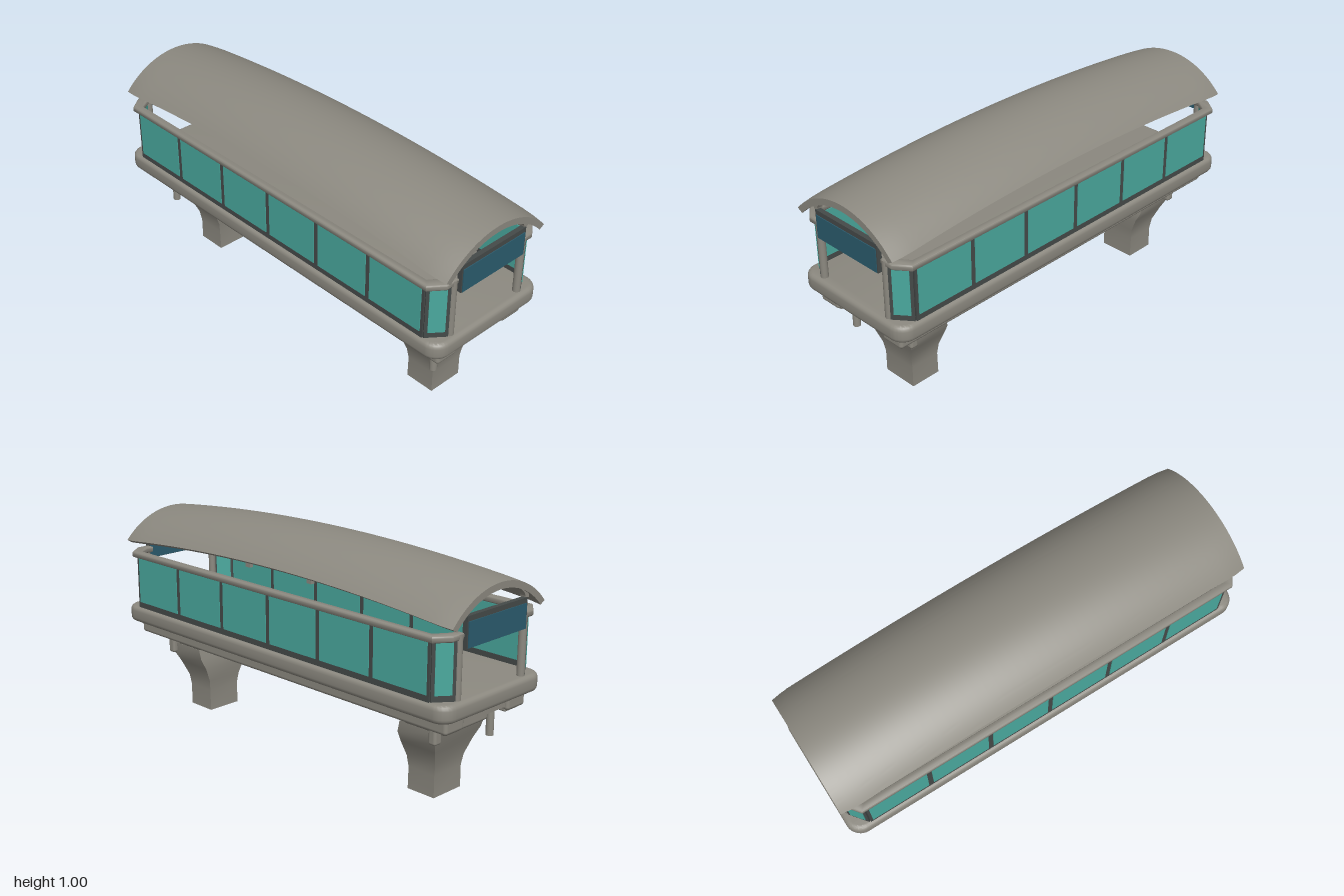
import * as THREE from 'three';
import { toCreasedNormals } from 'three/addons/utils/BufferGeometryUtils.js';
import { RoundedBoxGeometry } from 'three/addons/geometries/RoundedBoxGeometry.js';

const mat = (name, color, side = THREE.FrontSide) => {
  const m = new THREE.MeshStandardMaterial({ color, side });
  m.name = name;
  return m;
};

export function createModel() {
  const model = new THREE.Group();
  model.name = 'elevatedStation';
  const grey = mat('concreteGrey', 0x8c8980);
  const greyOpen = mat('pierGrey', 0x8c8980, THREE.DoubleSide);
  const dark = mat('frameDark', 0x454a49);
  const teal = mat('glassTeal', 0x4aa99e);
  const blue = mat('signBlue', 0x2b5c6e);

  const add = (name, geo, material, x = 0, y = 0, z = 0, parent = model) => {
    const mesh = new THREE.Mesh(geo, material);
    mesh.name = name;
    mesh.position.set(x, y, z);
    parent.add(mesh);
    return mesh;
  };

  // Plan outline (x, z) raised from y0 to y1 with rounded edges
  const raise = (shape, y0, y1, bevel) => {
    const geo = new THREE.ExtrudeGeometry(shape, {
      depth: y1 - y0 - 2 * bevel, bevelSize: bevel, bevelThickness: bevel,
      bevelOffset: -bevel, bevelSegments: 4, curveSegments: 8,
    });
    geo.rotateX(-Math.PI / 2).translate(0, y0 + bevel, 0);
    return toCreasedNormals(geo, 0.7);
  };

  // Cross-section (z, y) run along x from x0 to x1
  const run = (shape, x0, x1, steps = 1) => {
    const geo = new THREE.ExtrudeGeometry(shape, { depth: x1 - x0, steps, bevelEnabled: false, curveSegments: 32 });
    return geo.rotateY(Math.PI / 2).translate(x0, 0, 0);
  };

  const roundedRect = (hx, hz, r) => {
    const s = new THREE.Shape();
    s.absarc(hx - r, hz - r, r, 0, Math.PI / 2);
    s.absarc(-hx + r, hz - r, r, Math.PI / 2, Math.PI);
    s.absarc(-hx + r, -hz + r, r, Math.PI, Math.PI * 1.5);
    s.absarc(hx - r, -hz + r, r, Math.PI * 1.5, Math.PI * 2);
    return s;
  };

  // Platform deck and the stepped beams beneath it
  add('deck', raise(roundedRect(1, 0.315, 0.07), 0.43, 0.508, 0.022), grey);
  add('underPanel', new THREE.BoxGeometry(1.88, 0.06, 0.32), grey, 0, 0.412, 0);
  for (const s of [-1, 1]) {
    add('sideBeam', new RoundedBoxGeometry(1.91, 0.07, 0.115, 3, 0.015), grey, 0, 0.4, s * 0.195);
    add('sideBeamFoot', new RoundedBoxGeometry(1.88, 0.03, 0.09, 3, 0.008), grey, 0, 0.372, s * 0.185);
  }

  // Flared hollow piers: [y, inner x, outer x, back z, front z]
  const sections = [
    [0.0, 0.636, 0.778, -0.1, 0.07], [0.1, 0.638, 0.778, -0.1, 0.07],
    [0.15, 0.632, 0.786, -0.106, 0.077], [0.22, 0.622, 0.808, -0.135, 0.105],
    [0.27, 0.626, 0.828, -0.16, 0.13], [0.32, 0.638, 0.842, -0.163, 0.138],
  ];
  const pier = (s) => {
    const pos = [], index = [];
    for (const [y, a, b, z0, z1] of sections) {
      const x0 = s > 0 ? a : -b, x1 = s > 0 ? b : -a;
      pos.push(x0, y, z1, x1, y, z1, x1, y, z0, x0, y, z0);
    }
    for (let i = 0; i < sections.length - 1; i++)
      for (let j = 0; j < 4; j++) {
        const a = i * 4 + j, b = i * 4 + ((j + 1) % 4);
        index.push(a, b, b + 4, a, b + 4, a + 4);
      }
    const geo = new THREE.BufferGeometry();
    geo.setAttribute('position', new THREE.Float32BufferAttribute(pos, 3));
    geo.setIndex(index);
    return toCreasedNormals(geo, 0.8);
  };
  for (const s of [-1, 1]) {
    add('pier', pier(s), greyOpen);
    add('pierCap', new RoundedBoxGeometry(0.225, 0.11, 0.28, 3, 0.015), grey, s * 0.745, 0.358, 0);
    add('drainPipe', new THREE.CylinderGeometry(0.017, 0.017, 0.16, 16), grey, s * 0.853, 0.31, 0.158);
    add('pipeStub', new RoundedBoxGeometry(0.04, 0.11, 0.045, 3, 0.012), grey, s * 0.825, 0.325, -0.16);
  }

  // Glazed wall panel between two plan points, split into equal panes
  const wall = (name, ax, az, bx, bz, count, gap) => {
    const g = new THREE.Group();
    g.name = name;
    const len = Math.hypot(bx - ax, bz - az);
    g.position.set((ax + bx) / 2, 0.635, (az + bz) / 2);
    g.rotation.y = -Math.atan2(bz - az, bx - ax);
    add('wallFrame', new THREE.BoxGeometry(len, 0.265, 0.016), dark, 0, 0, 0, g);
    const step = len / count;
    for (let i = 0; i < count; i++)
      for (const s of [-1, 1])
        add('windowPane', new THREE.BoxGeometry(step - gap, 0.215, 0.005), teal,
          (i + 0.5) * step - len / 2, 0.007, s * 0.009, g);
    model.add(g);
  };
  for (const s of [-1, 1]) {
    wall('sideWall', -0.905, s * 0.292, 0.905, s * 0.292, 6, 0.024);
    for (const e of [-1, 1]) {
      wall('cornerWall', e * 0.905, s * 0.292, e * 0.965, s * 0.215, 1, 0.028);
      add('endPost', new THREE.CylinderGeometry(0.017, 0.017, 0.28, 16), grey, e * 0.962, 0.635, s * 0.202);
    }
    // Rail capping the wall and its angled corners
    const rail = [[0.975, 0.185], [0.975, 0.25], [0.925, 0.315], [-0.925, 0.315], [-0.975, 0.25], [-0.975, 0.185],
      [-0.935, 0.185], [-0.935, 0.22], [-0.895, 0.278], [0.895, 0.278], [0.935, 0.22], [0.935, 0.185]];
    add('topRail', raise(new THREE.Shape(rail.map(([x, z]) => new THREE.Vector2(x, s * z))), 0.75, 0.779, 0.009), grey);
  }

  // Arched roof, rising toward the middle and drawn in slightly at the corners
  const cy = 0.545, lift = (x) => 0.055 * (1 - x * x);
  const roofShape = new THREE.Shape();
  roofShape.absarc(0, cy, 0.4, Math.PI / 2 - 0.829, Math.PI / 2 + 0.829, false);
  roofShape.absarc(0, cy, 0.371, Math.PI / 2 + 0.81, Math.PI / 2 - 0.81, true);
  const roof = run(roofShape, -1, 1, 40);
  const p = roof.attributes.position;
  for (let i = 0; i < p.count; i++) {
    const x = p.getX(i), t = Math.max(0, Math.abs(x) - 0.9) / 0.1;
    p.setY(i, p.getY(i) + lift(x));
    p.setZ(i, p.getZ(i) * (1 - 0.03 * t * t));
  }
  add('roof', toCreasedNormals(roof, 0.6), grey);

  // Arched ribs under the roof: half width, foot height, inner ellipse
  const rib = (name, x, w, angle, foot, inner, top) => {
    const c = cy + lift(x), s = new THREE.Shape();
    s.moveTo(inner, foot);
    s.lineTo(w, foot);
    s.absarc(0, c, 0.378, Math.PI / 2 - angle, Math.PI / 2 + angle, false);
    s.lineTo(-w, foot);
    s.lineTo(-inner, foot);
    s.absellipse(0, foot, inner, top - foot, Math.PI, 0, true);
    add(name, toCreasedNormals(run(s, x - 0.014, x + 0.014), 0.6), grey);
  };
  for (const e of [-1, 1]) {
    rib('endArch', e * 0.97, 0.2, 0.57, 0.842, 0.18, 0.915);
    rib('roofRib', e * 0.19, 0.24, 0.69, 0.825, 0.222, 0.93);

    // Header sign across each open end
    add('signFrame', new THREE.BoxGeometry(0.022, 0.13, 0.372), dark, e * 0.978, 0.78, 0);
    for (const f of [-1, 1])
      add('signFace', new THREE.BoxGeometry(0.005, 0.106, 0.36), blue, e * 0.978 + f * 0.012, 0.77, 0);
  }
  return model;
}
